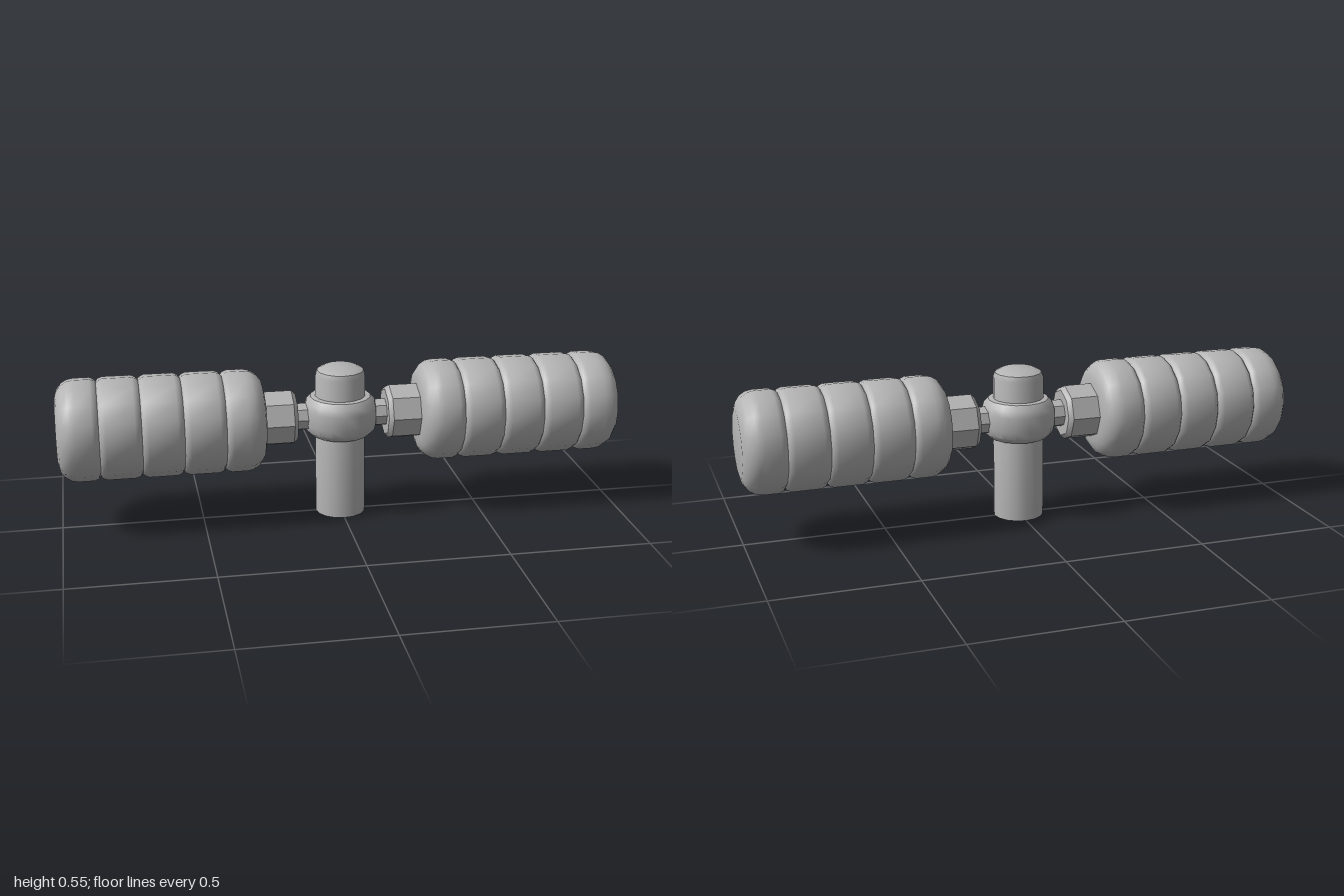
import * as THREE from 'three';
import { toCreasedNormals } from 'three/addons/utils/BufferGeometryUtils.js';

export function createModel() {
  const model = new THREE.Group();
  const grey = new THREE.MeshStandardMaterial({ color: 0xb4b4b4 });
  grey.name = 'grey';

  // Revolved solid from [radius, height] pairs, bottom to top
  const turned = (name, profile, sides, parent) => {
    const points = profile.map(([r, h]) => new THREE.Vector2(r, h));
    const geometry = toCreasedNormals(new THREE.LatheGeometry(points, sides), 0.65);
    const mesh = new THREE.Mesh(geometry, grey);
    mesh.name = name;
    parent.add(mesh);
    return mesh;
  };

  // Centre post with a rounded top
  turned('post', [[0, 0], [0.09, 0], [0.09, 0.515], [0.083, 0.533], [0.06, 0.545], [0, 0.545]], 16, model);

  // Bulging collar around the post
  turned('collar', [[0.085, 0.295], [0.105, 0.297], [0.124, 0.315], [0.131, 0.343],
    [0.131, 0.394], [0.124, 0.42], [0.108, 0.437], [0.085, 0.44]], 16, model);

  // Each arm is turned along its own axis, then laid sideways
  const addArm = (name, angle) => {
    const arm = new THREE.Group();
    arm.name = name;
    turned('neck', [[0, 0.08], [0.05, 0.08], [0.05, 0.175], [0, 0.175]], 8, arm);
    turned('nut', [[0, 0.162], [0.085, 0.162], [0.1, 0.177], [0.1, 0.285], [0, 0.285]], 8, arm);

    // Five ribs, with the two outer ends rounded more deeply
    const ribs = 5, start = 0.277, width = (1 - start) / ribs;
    const groove = [[0.166, 0], [0.175, 0.007], [0.181, 0.022]];
    const round = [[0, 0], [0.115, 0], [0.142, 0.007], [0.164, 0.023], [0.177, 0.045], [0.181, 0.067]];
    for (let i = 0; i < ribs; i++) {
      const low = start + i * width, high = low + width;
      const bottom = (i === 0 ? round : groove).map(([r, d]) => [r, low + d]);
      const top = (i === ribs - 1 ? round : groove).map(([r, d]) => [r, high - d]).reverse();
      turned('gripRib', [...bottom, ...top], 16, arm);
    }
    arm.rotation.z = angle;
    arm.position.y = 0.365;
    model.add(arm);
  };
  addArm('leftArm', -Math.PI / 2);
  addArm('rightArm', Math.PI / 2);

  return model;
}
